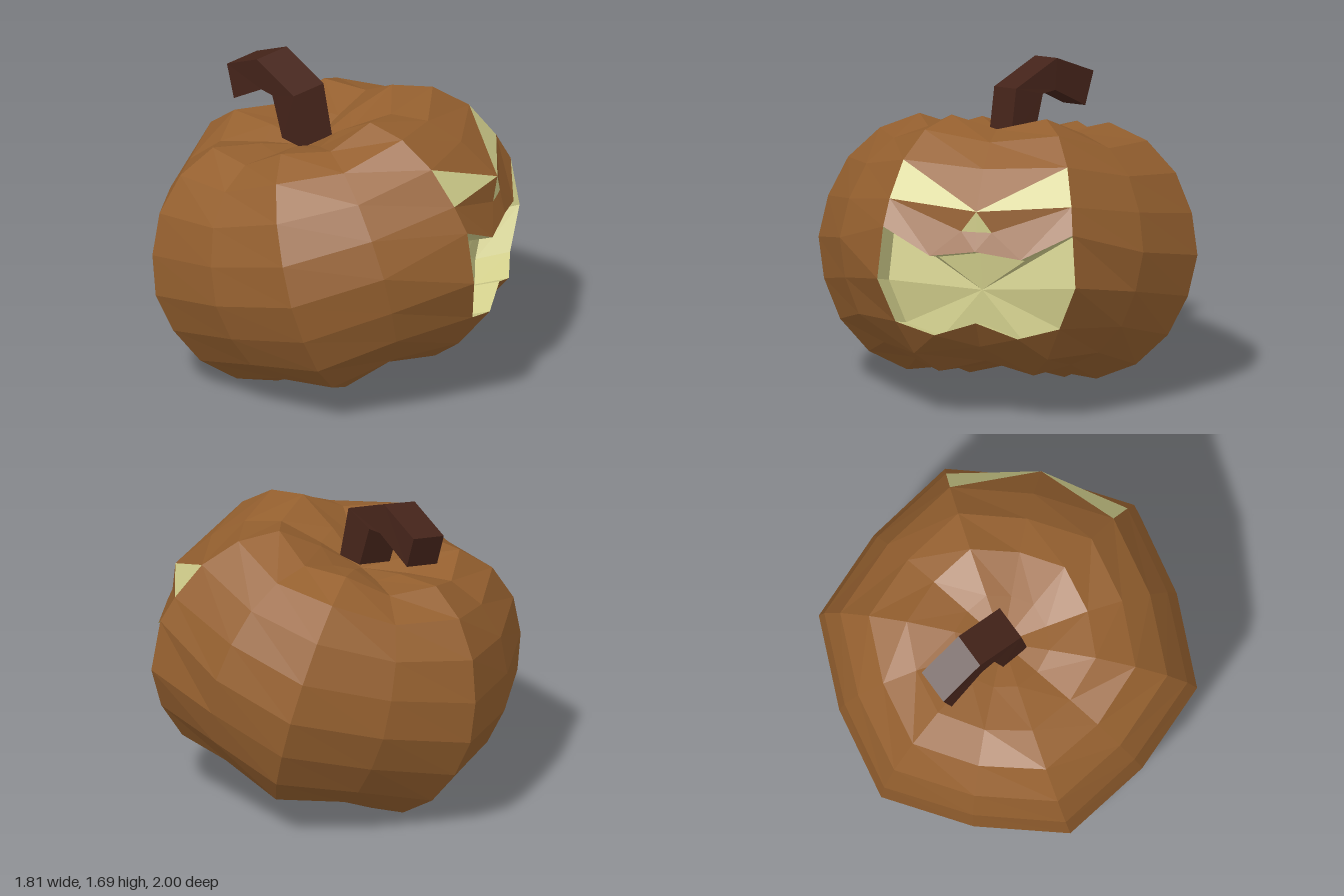
import * as THREE from 'three';

const V = (x, y, z) => new THREE.Vector3(x, y, z);
const CENTRE = V(0, 0.755, 0);
const TILT = Math.PI / 12;

// [radius, height] along the axis, bottom to top, for lobe ridges and valleys
const RIDGE = [[0.5, -0.665], [0.705, -0.58], [0.865, -0.42], [0.96, -0.215], [1, 0],
  [0.96, 0.215], [0.865, 0.42], [0.705, 0.58], [0.5, 0.665], [0.25, 0.6]];
const VALLEY = [[0.47, -0.6], [0.655, -0.53], [0.8, -0.39], [0.885, -0.205], [0.925, 0],
  [0.885, 0.205], [0.8, 0.39], [0.655, 0.53], [0.47, 0.6], [0.24, 0.56]];

// Tilted local position to model position
function tilted(x, h, z) {
  const c = Math.cos(TILT), s = Math.sin(TILT);
  return V(c * x - s * h, CENTRE.y + s * x + c * h, z);
}

// Point of the gourd at column k (30 degree steps) and row j
function skin(k, j) {
  const col = (k + 12) % 12;
  const side = col === 1 ? 1 : -1;
  if (col === 1 || col === 11) { // mouth corners push the ridge out a little
    if (j === 4) return V(0.82, 1.045, 0.5 * side);
    if (j === 3) return V(0.862, 0.775, 0.523 * side);
  }
  const [r, h] = (col % 2 ? RIDGE : VALLEY)[j];
  const a = col * Math.PI / 6;
  return tilted(r * Math.cos(a), h, r * Math.sin(a));
}

// Collects triangles, each turned away from (or toward) a reference point
class Facets {
  constructor() { this.data = []; }
  tri(a, b, c, ref = CENTRE, toward = false) {
    const n = b.clone().sub(a).cross(c.clone().sub(a));
    const mid = a.clone().add(b).add(c).divideScalar(3).sub(ref);
    const flip = (n.dot(mid) < 0) !== toward;
    for (const p of flip ? [a, c, b] : [a, b, c]) this.data.push(p.x, p.y, p.z);
  }
  quad(a, b, c, d, ref, toward) {
    this.tri(a, b, c, ref, toward);
    this.tri(a, c, d, ref, toward);
  }
  mesh(name, color) {
    const geo = new THREE.BufferGeometry();
    geo.setAttribute('position', new THREE.Float32BufferAttribute(this.data, 3));
    geo.computeVertexNormals();
    const mat = new THREE.MeshStandardMaterial({ color, flatShading: true, side: THREE.DoubleSide });
    const mesh = new THREE.Mesh(geo, mat);
    mesh.name = name;
    return mesh;
  }
}

export function createModel() {
  const group = new THREE.Group();
  group.name = 'carvedPumpkin';
  const body = new Facets(), eyes = new Facets(), nose = new Facets();
  const mouth = new Facets(), stem = new Facets();

  // Lobed body, leaving the face open
  const bottom = tilted(0, -0.6, 0), top = tilted(0, 0.5, 0);
  for (let k = 0; k < 12; k++) {
    for (let j = 0; j < 9; j++) {
      if ((k === 0 || k === 11) && j >= 1 && j <= 5) continue;
      body.quad(skin(k, j), skin(k + 1, j), skin(k + 1, j + 1), skin(k, j + 1));
    }
    body.tri(bottom, skin(k, 0), skin(k + 1, 0));
    body.tri(top, skin(k, 9), skin(k + 1, 9));
  }

  // Face, one half at a time
  for (const s of [1, -1]) {
    const brow = skin(s, 6), eyeLow = skin(s, 5), corner = skin(s, 4);
    const cheek = skin(s, 3), lipEnd = skin(s, 2), chin = skin(s, 1);
    const bridge = V(0.865, 1.16, 0);
    const noseMid = V(0.862, 1.05, 0), noseSide = V(0.86, 1.05, 0.08 * s);
    const lipTop = V(0.905, 0.955, 0), lipDip = V(0.895, 0.92, 0.24 * s);
    const lipLow = V(0.875, 0.49, 0.22 * s), lipBase = V(0.875, 0.565, 0);

    body.tri(brow, skin(0, 6), bridge);
    eyes.tri(brow, bridge, eyeLow);
    nose.tri(bridge, noseMid, noseSide);
    body.tri(bridge, noseSide, eyeLow);
    body.tri(eyeLow, noseSide, lipDip);
    body.tri(eyeLow, lipDip, corner);
    body.tri(noseSide, lipTop, lipDip);
    body.tri(noseMid, lipTop, noseSide);
    body.tri(chin, lipEnd, lipLow);
    body.tri(chin, lipLow, skin(0, 1));
    body.tri(skin(0, 1), lipLow, lipBase);

    // Recessed mouth: walls going inward and a back panel
    const rim = [lipTop, lipDip, corner, cheek, lipEnd, lipLow, lipBase];
    const inner = rim.map(p => V(p.x - 0.18, p.y - 0.05, p.z * 0.95));
    const middle = V(0.7, 0.7, 0);
    for (let i = 0; i < rim.length - 1; i++) {
      mouth.quad(rim[i], rim[i + 1], inner[i + 1], inner[i], V(0.8, 0.74, 0), true);
      mouth.tri(middle, inner[i], inner[i + 1], V(3, 0.74, 0), true);
    }
  }

  // Hooked square stem: outer and inner centre points of each section
  const sections = [
    [V(-0.08, 1.29, 0.06), V(-0.21, 1.29, -0.04)],
    [V(-0.13, 1.567, 0.04), V(-0.27, 1.51, -0.074)],
    [V(-0.365, 1.68, -0.13), V(-0.34, 1.515, -0.125)],
    [V(-0.56, 1.57, -0.285), V(-0.515, 1.395, -0.25)],
  ];
  const half = V(-0.063, -0.013, 0.07);
  const loops = sections.map(([o, i]) => [
    o.clone().add(half), o.clone().sub(half), i.clone().sub(half), i.clone().add(half)]);
  const centreOf = pts => pts.reduce((m, p) => m.add(p), V(0, 0, 0)).divideScalar(pts.length);
  for (let n = 0; n < 3; n++) {
    const mid = centreOf([...loops[n], ...loops[n + 1]]);
    for (let e = 0; e < 4; e++) {
      const f = (e + 1) % 4;
      stem.quad(loops[n][e], loops[n][f], loops[n + 1][f], loops[n + 1][e], mid);
    }
  }
  stem.quad(...loops[0], centreOf(loops[1]));
  stem.quad(...loops[3], centreOf(loops[2]));

  group.add(
    body.mesh('body', 0x95602f),
    eyes.mesh('eyes', 0xd2cf8c),
    nose.mesh('nose', 0xd2cf8c),
    mouth.mesh('mouth', 0xd2cf8c),
    stem.mesh('stem', 0x45241a),
  );
  return group;
}
